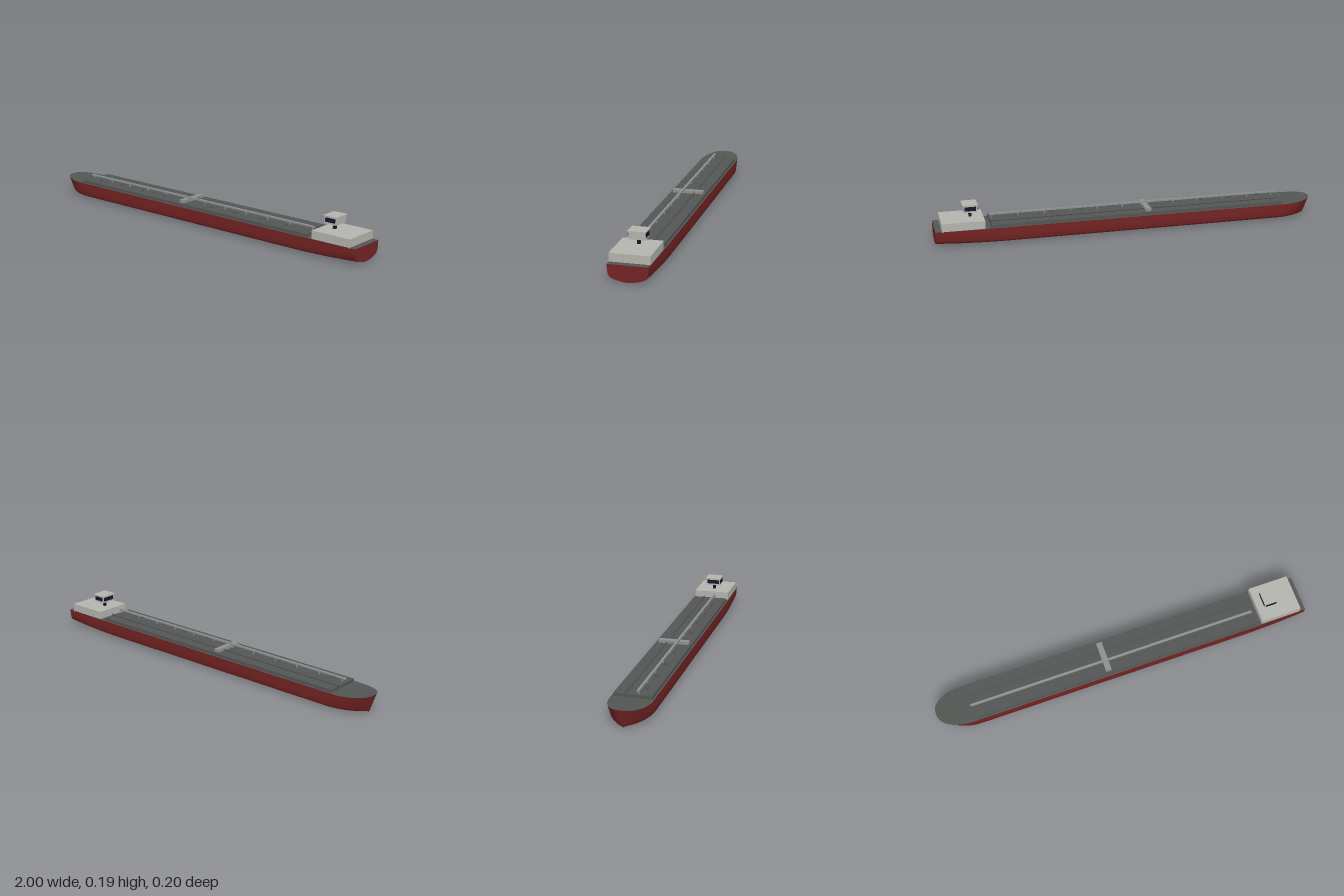
import * as THREE from 'three';
import { toCreasedNormals } from 'three/addons/utils/BufferGeometryUtils.js';

const mat = (name, color, side = THREE.FrontSide) => {
  const m = new THREE.MeshStandardMaterial({ color, side });
  m.name = name;
  return m;
};

// Half section rows from deck edge to keel: [mid half-width, height, stern half-width, stern height]
const ROWS = [
  [0.102, 0.082, 0.096, 0.082],
  [0.102, 0.05, 0.095, 0.055],
  [0.102, 0.02, 0.091, 0.034],
  [0.099, 0.014, 0.082, 0.021],
  [0.091, 0.008, 0.062, 0.012],
  [0.05, 0.003, 0.035, 0.005],
  [0, 0, 0, 0],
];
const lerp = THREE.MathUtils.lerp;

// One hull station, ordered left deck edge -> keel -> right deck edge
function station(bow, stern, x) {
  const half = ROWS.map(([w, y, sw, sy]) => {
    const depth = 1 - y / 0.082;
    if (bow > 0) {
      // Rounded raked bow: waterlines become finer towards the keel
      const a = bow * Math.PI / 2;
      const start = lerp(-0.83, -0.78, depth), tip = lerp(-1, -0.975, depth);
      const width = bow === 1 ? 0 : w * Math.pow(Math.cos(a), lerp(0.85, 1.4, depth));
      return [lerp(start, tip, Math.sin(a)), y + (1 - depth) * 0.01 * Math.sin(a) ** 2, width];
    }
    return [x, lerp(y, sy, stern), lerp(w, sw, stern)];
  });
  const right = half.slice(0, -1).reverse().map(([px, y, z]) => [px, y, -z]);
  return [...half, ...right];
}

function hullStations() {
  const list = [];
  for (let i = 16; i >= 1; i--) list.push(station(i / 16, 0, 0));
  list.push(station(0, 0, -0.75), station(0, 0, 0.62));
  for (let i = 1; i <= 8; i++) {
    const t = i / 8;
    list.push(station(0, t * t, lerp(0.62, 1, t)));
  }
  return list;
}

function geometry(points, index, crease) {
  const g = new THREE.BufferGeometry();
  g.setAttribute('position', new THREE.Float32BufferAttribute(points.flat(), 3));
  g.setIndex(index);
  return toCreasedNormals(g, crease);
}

// Shell with a flat transom
function hullGeometry(stations) {
  const n = stations[0].length, index = [];
  for (let i = 0; i < stations.length - 1; i++) {
    for (let j = 0; j < n - 1; j++) {
      const a = i * n + j, b = a + n;
      index.push(a, a + 1, b, b, a + 1, b + 1);
    }
  }
  const last = (stations.length - 1) * n;
  for (let j = 1; j < n - 1; j++) index.push(last, last + j, last + j + 1);
  return geometry(stations.flat(), index, 0.7);
}

// Deck spanning the two upper hull edges
function deckGeometry(stations) {
  const points = stations.flatMap(s => [s[0], s[s.length - 1]]), index = [];
  for (let i = 0; i < stations.length - 1; i++) {
    const p = i * 2;
    index.push(p, p + 2, p + 1, p + 1, p + 2, p + 3);
  }
  return geometry(points, index, 0.5);
}

export function createModel() {
  const ship = new THREE.Group();
  ship.name = 'tankBarge';
  const red = mat('hullRed', 0x742323, THREE.DoubleSide);
  const deckGrey = mat('deckGrey', 0x525653, THREE.DoubleSide);
  const paleGrey = mat('housePaleGrey', 0xb4b4ae);
  const pipeGrey = mat('pipeGrey', 0x8c908e);
  const navy = mat('windowNavy', 0x15152c);

  const add = (name, geo, material, x = 0, y = 0, z = 0) => {
    const m = new THREE.Mesh(geo, material);
    m.name = name;
    m.position.set(x, y, z);
    ship.add(m);
    return m;
  };
  // Box given by its minimum and maximum corners
  const box = (name, material, [x0, y0, z0], [x1, y1, z1]) =>
    add(name, new THREE.BoxGeometry(x1 - x0, y1 - y0, z1 - z0), material,
      (x0 + x1) / 2, (y0 + y1) / 2, (z0 + z1) / 2);

  const stations = hullStations();
  add('hull', hullGeometry(stations), red);
  add('deck', deckGeometry(stations), deckGrey);

  // Raised cargo trunk with its pipework
  box('cargoTrunk', deckGrey, [-0.82, 0.078, -0.093], [0.72, 0.097, 0.093]);
  box('walkway', pipeGrey, [-0.82, 0.112, 0.019], [0.72, 0.12, 0.031]);
  for (let i = 0; i < 12; i++) {
    const x = -0.8 + i * 0.137;
    box('walkwaySupport', pipeGrey, [x - 0.002, 0.096, 0.022], [x + 0.002, 0.113, 0.028]);
  }
  const pipe = new THREE.CylinderGeometry(0.004, 0.004, 1.54, 10).rotateZ(Math.PI / 2);
  add('cargoPipe', pipe, deckGrey, -0.05, 0.101, -0.035);
  box('manifold', pipeGrey, [-0.107, 0.096, -0.08], [-0.077, 0.112, 0.08]);

  // Tank hatches
  const hatch = new THREE.CylinderGeometry(0.008, 0.008, 0.01, 12);
  for (const x of [-0.73, -0.57, -0.41, -0.245, 0.08, 0.24, 0.4, 0.565])
    add('tankHatch', hatch, deckGrey, x, 0.101, 0.043);

  // Deckhouse and raised wheelhouse
  box('deckhouse', paleGrey, [0.752, 0.078, -0.097], [0.968, 0.123, 0.097]);
  box('wheelhouseColumn', navy, [0.81, 0.122, -0.007], [0.824, 0.153, 0.007]);
  box('wheelhouse', paleGrey, [0.784, 0.152, -0.04], [0.852, 0.19, 0.04]);
  box('wheelhouseRoof', paleGrey, [0.78, 0.189, -0.044], [0.857, 0.193, 0.044]);
  for (const s of [-1, 1])
    add('sideWindow', new THREE.BoxGeometry(0.056, 0.021, 0.003), navy, 0.818, 0.172, s * 0.0405);
  add('forwardWindow', new THREE.BoxGeometry(0.003, 0.021, 0.068), navy, 0.7835, 0.172, 0);

  return ship;
}
